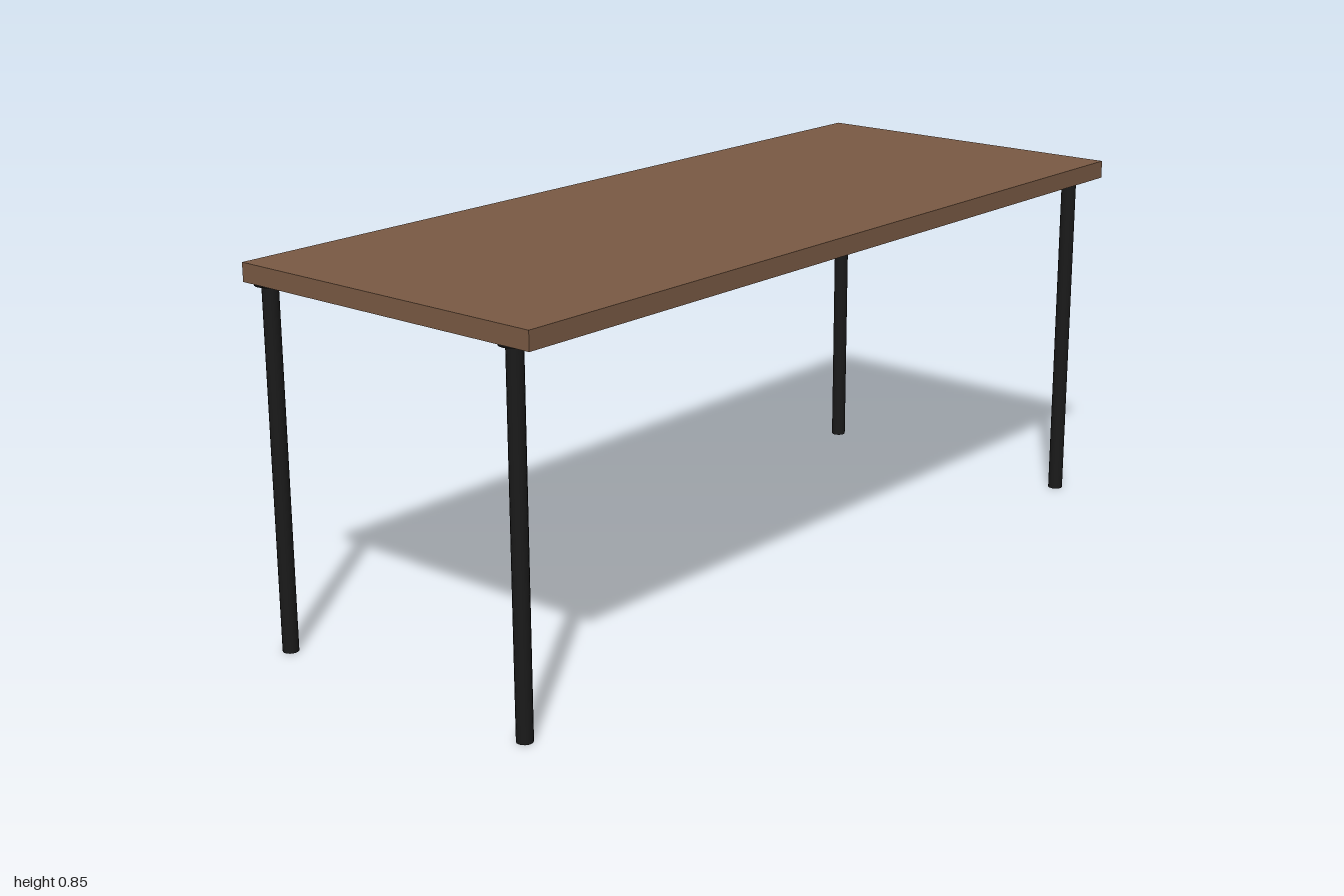
import * as THREE from 'three';

const wood = new THREE.MeshStandardMaterial({ color: 0x7a5a44 });
wood.name = 'brown wood';
const metal = new THREE.MeshStandardMaterial({ color: 0x1a1a1a });
metal.name = 'black metal';

function addPart(parent, name, geometry, material, y) {
  const mesh = new THREE.Mesh(geometry, material);
  mesh.name = name;
  mesh.position.y = y;
  parent.add(mesh);
}

export function createModel() {
  const table = new THREE.Group();
  table.name = 'table';

  // Slab top, resting a hair above the mounting plates
  addPart(table, 'tableTop', new THREE.BoxGeometry(2, 0.041, 0.8), wood, 0.8245);

  // Round post and thin mounting plate, shared by all four legs
  const post = new THREE.CylinderGeometry(0.0175, 0.0175, 0.799, 16);
  const plate = new THREE.CylinderGeometry(0.032, 0.032, 0.002, 24);

  for (const [end, z] of [['front', 0.33], ['back', -0.358]]) {
    for (const [side, x] of [['Left', 0.966], ['Right', -0.966]]) {
      const leg = new THREE.Group();
      leg.name = `${end}${side}Leg`;
      leg.position.set(x, 0, z);
      addPart(leg, 'legPost', post, metal, 0.3995);
      addPart(leg, 'mountingPlate', plate, metal, 0.8);
      table.add(leg);
    }
  }
  return table;
}
